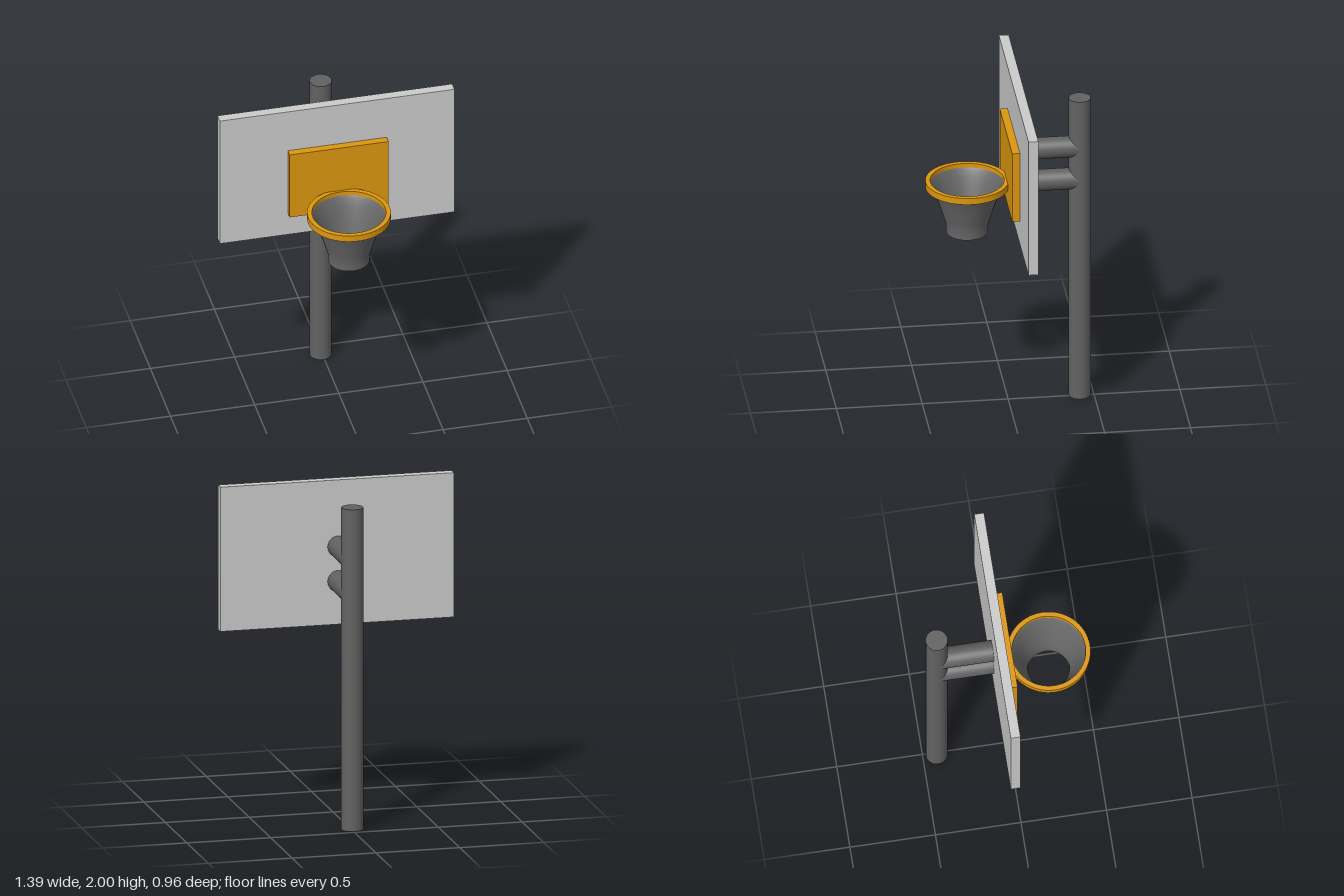
import * as THREE from 'three';

const paint = (color, side = THREE.FrontSide) => new THREE.MeshStandardMaterial({ color, side });

export function createModel() {
  const model = new THREE.Group();
  model.name = 'basketballHoop';

  const steel = paint(0x626262);
  const board = paint(0xcccccc);
  const orange = paint(0xdc970f);
  const netting = paint(0x686868, THREE.DoubleSide);

  const add = (name, geometry, material, x, y, z) => {
    const mesh = new THREE.Mesh(geometry, material);
    mesh.name = name;
    mesh.position.set(x, y, z);
    model.add(mesh);
    return mesh;
  };

  // Upright pole
  const poleX = -0.008, poleZ = -0.418;
  add('pole', new THREE.CylinderGeometry(0.064, 0.064, 1.917, 32), steel, poleX, 0.9585, poleZ);

  // Two horizontal arms from the pole to the backboard
  const armBack = -0.41, armFront = -0.085;
  [['lowerArm', 1.398], ['upperArm', 1.604]].forEach(([name, y]) => {
    const arm = add(name, new THREE.CylinderGeometry(0.063, 0.063, armFront - armBack, 32),
      steel, poleX, y, (armBack + armFront) / 2);
    arm.rotation.x = Math.PI / 2;
  });

  // Backboard and the raised target panel on its front
  add('backboard', new THREE.BoxGeometry(1.394, 0.86, 0.057), board, -0.002, 1.57, -0.0615);
  add('targetPanel', new THREE.BoxGeometry(0.588, 0.438, 0.046), orange, -0.001, 1.509, -0.011);

  // Flat-sided rim: a ring extruded upwards
  const rimX = 0.003, rimZ = 0.239;
  const ring = new THREE.Shape().absarc(0, 0, 0.242, 0, Math.PI * 2);
  ring.holes.push(new THREE.Path().absarc(0, 0, 0.214, 0, Math.PI * 2, true));
  const rimGeometry = new THREE.ExtrudeGeometry(ring, { depth: 0.04, bevelEnabled: false, curveSegments: 32 });
  rimGeometry.rotateX(-Math.PI / 2);
  add('rim', rimGeometry, orange, rimX, 1.39, rimZ);

  // Open net, flaring from a straight throat up to the rim
  const profile = [
    [0.121, 1.10], [0.122, 1.15], [0.137, 1.20], [0.152, 1.25],
    [0.169, 1.30], [0.187, 1.35], [0.205, 1.39], [0.215, 1.405],
  ].map(([r, y]) => new THREE.Vector2(r, y));
  add('net', new THREE.LatheGeometry(profile, 40), netting, rimX, 0, rimZ);

  return model;
}
